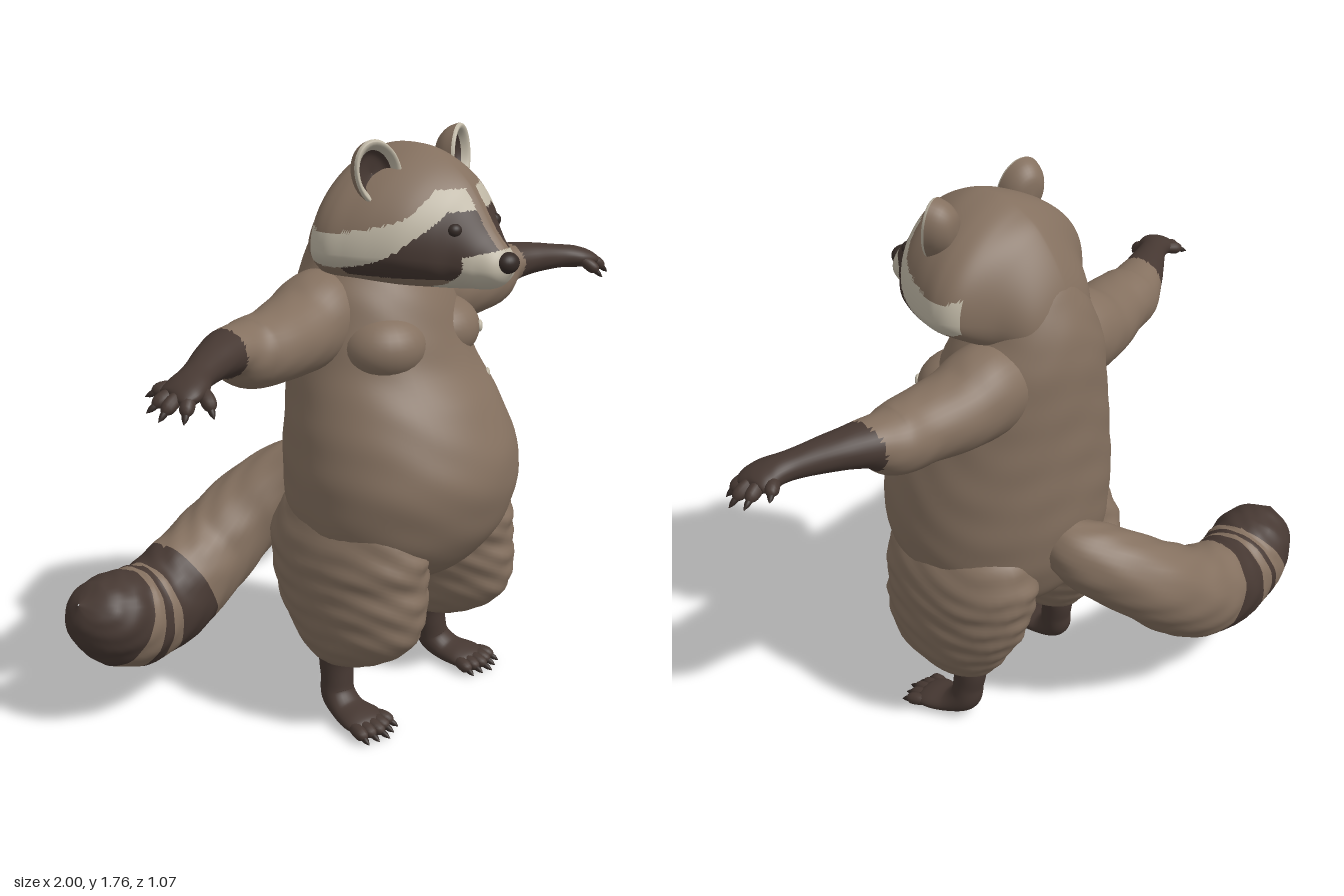
import * as THREE from 'three';

const mat = (name, color) => {
  const m = new THREE.MeshStandardMaterial({ color });
  m.name = name;
  return m;
};
const X = new THREE.Vector3(1, 0, 0), Y = new THREE.Vector3(0, 1, 0), Z = new THREE.Vector3(0, 0, 1);

// Smooth skin through sections [x, y, z, radiusA, radiusB, radiusB2].
// radiusA lies along ref, radiusB across it; axis fixes the ring direction.
function loft(sections, { ref = X, axis = null, rows = 40, seg = 32, power = 1, fur = 0 } = {}) {
  const path = new THREE.CatmullRomCurve3(sections.map(s => new THREE.Vector3(s[0], s[1], s[2])), false, 'catmullrom');
  const size = new THREE.CatmullRomCurve3(sections.map(s => new THREE.Vector3(s[3], s[4], s[5] ?? s[4])), false, 'catmullrom');
  const pos = [], index = [];
  for (let i = 0; i <= rows; i++) {
    const u = i / rows, p = path.getPoint(u), r = size.getPoint(u);
    const t = axis || path.getTangent(u);
    const a = ref.clone().addScaledVector(t, -ref.dot(t)).normalize();
    const b = t.clone().cross(a);
    for (let j = 0; j < seg; j++) {
      const th = j / seg * Math.PI * 2, c = Math.cos(th), s = Math.sin(th);
      const bump = 1 + fur * Math.sin(th * 5 + u * 13) * Math.sin(u * 55 + 2 * Math.sin(th * 3));
      const ra = Math.max(r.x, 0.001) * Math.sign(c) * Math.pow(Math.abs(c), power) * bump;
      const rb = Math.max(s > 0 ? r.y : r.z, 0.001) * s * bump;
      const v = p.clone().addScaledVector(a, ra).addScaledVector(b, rb);
      pos.push(v.x, v.y, v.z);
      if (i < rows) {
        const k = i * seg + j, n = i * seg + (j + 1) % seg;
        index.push(k, n, k + seg, n, n + seg, k + seg);
      }
    }
  }
  const g = new THREE.BufferGeometry();
  g.setAttribute('position', new THREE.Float32BufferAttribute(pos, 3));
  g.setIndex(index);
  g.computeVertexNormals();
  return g;
}

// Sort faces into colour groups by a rule on face centre and position along the loft.
function paint(g, count, rule) {
  const p = g.attributes.position, idx = g.index.array, bins = Array.from({ length: count }, () => []);
  const c = new THREE.Vector3(), v = new THREE.Vector3();
  for (let i = 0; i < idx.length; i += 3) {
    c.set(0, 0, 0);
    for (let k = 0; k < 3; k++) c.add(v.fromBufferAttribute(p, idx[i + k]));
    bins[rule(c.divideScalar(3), i / idx.length)].push(idx[i], idx[i + 1], idx[i + 2]);
  }
  g.setIndex(bins.flat());
  let start = 0;
  bins.forEach((b, m) => { g.addGroup(start, b.length, m); start += b.length; });
  return g;
}

export function createModel() {
  const root = new THREE.Group();
  root.name = 'raccoon';
  const fur = mat('brown fur', 0x84705f), dark = mat('dark fur', 0x463832);
  const cream = mat('cream fur', 0xc0b8a6), black = mat('nose and claws', 0x332925);
  const add = (name, geo, material, parent = root) => {
    const m = new THREE.Mesh(geo, material);
    m.name = name;
    parent.add(m);
    return m;
  };
  const ball = (name, material, [x, y, z], [a, b, c]) => {
    const m = add(name, new THREE.SphereGeometry(1, 28, 20), material);
    m.position.set(x, y, z);
    m.scale.set(a, b, c);
    return m;
  };
  // Tapered digit ending in a claw
  const digit = (name, a, b, r) => {
    const A = new THREE.Vector3(...a), B = new THREE.Vector3(...b), ref = Math.abs(B.x - A.x) > Math.abs(B.z - A.z) ? Y : X;
    const at = (t, k, lift) => { const q = A.clone().lerp(B, t); return [q.x, q.y + lift, q.z, r * k, r * k]; };
    add(name, loft([at(0, 0.7, 0), at(0.35, 1, 0.006), at(0.65, 0.9, 0.006), at(0.8, 0.1, 0)], { ref, rows: 10, seg: 12 }), dark);
    add(name + 'Claw', loft([at(0.65, 0.5, 0.005), at(0.85, 0.4, 0.002), at(1, 0.02, 0)], { ref, rows: 8, seg: 10 }), black);
  };

  // Torso: [y, half width, back z, front z]
  const torso = [[0.39, 0.01, 0.07, 0.09], [0.43, 0.13, -0.05, 0.24], [0.5, 0.27, -0.12, 0.36], [0.6, 0.345, -0.165, 0.44],
    [0.7, 0.367, -0.185, 0.477], [0.8, 0.37, -0.192, 0.485], [0.9, 0.355, -0.192, 0.455], [1.0, 0.33, -0.19, 0.4],
    [1.1, 0.3, -0.187, 0.33], [1.2, 0.275, -0.185, 0.29], [1.3, 0.245, -0.18, 0.25], [1.38, 0.2, -0.165, 0.2],
    [1.46, 0.16, -0.133, 0.16], [1.54, 0.1, -0.085, 0.12], [1.58, 0.005, 0, 0.01]]
    .map(([y, w, b, f]) => [0, y, (b + f) / 2, w, (f - b) / 2]);
  add('torso', loft(torso, { axis: Y, rows: 80, seg: 64, fur: 0.006 }), fur);

  // Head: [z, top, widest height, bottom, half width]
  const head = [[-0.15, 1.37, 1.36, 1.35, 0.01], [-0.1, 1.53, 1.4, 1.25, 0.13], [-0.02, 1.65, 1.44, 1.28, 0.2],
    [0.05, 1.7, 1.46, 1.32, 0.285], [0.11, 1.722, 1.46, 1.335, 0.305], [0.17, 1.727, 1.46, 1.335, 0.29],
    [0.23, 1.72, 1.46, 1.335, 0.265], [0.3, 1.69, 1.46, 1.34, 0.225], [0.36, 1.648, 1.45, 1.345, 0.17],
    [0.4, 1.6, 1.44, 1.35, 0.122], [0.45, 1.525, 1.425, 1.355, 0.085], [0.495, 1.475, 1.42, 1.375, 0.055], [0.52, 1.435, 1.42, 1.41, 0.005]]
    .map(([z, t, m, b, w]) => [0, m, z, w, t - m, m - b]);
  const face = c => {
    const ax = Math.abs(c.x), { y, z } = c;
    const brow = ax < 0.1 ? 1.6 : 1.6 - (ax - 0.1) * 0.72;
    const half = 0.027 + Math.max(0, ax - 0.2) * 0.3;
    if (z < 0.04) return 0;
    if (z > 0.32 && ax < 0.1 && y < 1.44 + (z - 0.36) * 0.25) return 2;
    if (z > 0.34 && ax < 0.022 && y > 1.44) return 0;
    if (Math.abs(y - brow) < half) return 2;
    if (z > 0.15 && y < brow && y > 1.385 + ax * 0.05) return 1;
    return 0;
  };
  add('head', paint(loft(head, { axis: Z, rows: 130, seg: 120, power: 1.35 }), 3, face), [fur, dark, cream]);
  ball('nose', black, [0, 1.437, 0.503], [0.038, 0.03, 0.032]);

  // Tail with bands
  const tail = [[0.06, 0.72, -0.1, 0.07, 0.07], [0.02, 0.66, -0.22, 0.11, 0.11], [-0.1, 0.56, -0.34, 0.13, 0.13],
    [-0.25, 0.44, -0.39, 0.145, 0.135], [-0.4, 0.36, -0.395, 0.155, 0.14], [-0.53, 0.32, -0.39, 0.152, 0.14],
    [-0.64, 0.33, -0.385, 0.15, 0.142], [-0.73, 0.375, -0.38, 0.128, 0.13], [-0.795, 0.42, -0.38, 0.08, 0.085], [-0.825, 0.445, -0.38, 0.003, 0.003]];
  const band = (c, u) => ((u > 0.45 && u < 0.57) || (u > 0.615 && u < 0.65) || u > 0.71 ? 1 : 0);
  add('tail', paint(loft(tail, { ref: Y, rows: 100, seg: 40, fur: 0.025 }), 2, band), [fur, dark]);

  for (const s of [1, -1]) {
    const side = s > 0 ? 'left' : 'right';
    const flip = list => list.map(([x, ...rest]) => [x * s, ...rest]);

    // Arm with dark forearm and hand
    const arm = flip([[0.04, 1.27, 0, 0.09, 0.11], [0.2, 1.247, 0.01, 0.135, 0.13], [0.32, 1.225, 0.025, 0.118, 0.125],
      [0.45, 1.22, 0.05, 0.102, 0.112], [0.55, 1.225, 0.055, 0.095, 0.1], [0.63, 1.25, 0.07, 0.066, 0.075],
      [0.72, 1.255, 0.105, 0.05, 0.058], [0.82, 1.25, 0.15, 0.038, 0.045], [0.88, 1.242, 0.178, 0.034, 0.056],
      [0.925, 1.232, 0.19, 0.024, 0.054], [0.945, 1.225, 0.19, 0.003, 0.02]]);
    add(side + 'Arm', paint(loft(arm, { ref: Y, rows: 80, seg: 36, fur: 0.008 }), 2, c => (Math.abs(c.x) > 0.635 ? 1 : 0)), [fur, dark]);
    [[0.88, 0.15, 0.95, 1.22, 0.1], [0.9, 0.17, 0.993, 1.2, 0.15], [0.91, 0.19, 1, 1.19, 0.2],
      [0.9, 0.21, 0.965, 1.185, 0.25], [0.86, 0.21, 0.89, 1.185, 0.277]].forEach(([x, z, tx, ty, tz]) =>
      digit(side + 'Finger', [x * s, 1.238, z], [tx * s, ty, tz], 0.019));

    // Chest
    ball(side + 'Chest', fur, [0.125 * s, 1.17, 0.175], [0.135, 0.1, 0.125]);

    // Furry upper leg
    const leg = flip([[0.225, 0.19, 0.1, 0.035, 0.04], [0.225, 0.22, 0.12, 0.09, 0.12], [0.225, 0.3, 0.15, 0.14, 0.205],
      [0.222, 0.4, 0.14, 0.163, 0.25], [0.215, 0.5, 0.125, 0.174, 0.262], [0.21, 0.6, 0.12, 0.172, 0.265],
      [0.2, 0.72, 0.12, 0.13, 0.2], [0.19, 0.8, 0.12, 0.01, 0.02]]);
    add(side + 'Leg', loft(leg, { axis: Y, rows: 60, seg: 44, fur: 0.022 }), fur);

    // Shin, heel and foot
    const foot = flip([[0.222, 0.28, 0.11, 0.06, 0.06], [0.228, 0.2, 0.085, 0.053, 0.055], [0.233, 0.13, 0.09, 0.05, 0.05],
      [0.24, 0.075, 0.1, 0.052, 0.05], [0.25, 0.042, 0.15, 0.058, 0.036], [0.258, 0.035, 0.21, 0.07, 0.03],
      [0.26, 0.03, 0.245, 0.06, 0.022], [0.26, 0.028, 0.262, 0.02, 0.004]]);
    add(side + 'Foot', loft(foot, { rows: 50, seg: 28 }), dark);
    for (let i = 0; i < 5; i++) {
      const k = i - 2;
      digit(side + 'Toe', [(0.26 + k * 0.024) * s, 0.033, 0.21], [(0.262 + k * 0.034) * s, 0.012, 0.322 - Math.abs(k) * 0.012], 0.02);
    }

    // Eye
    ball(side + 'Eye', black, [0.09 * s, 1.525, 0.39], [0.024, 0.02, 0.022]);

    // Cupped ear
    const ear = new THREE.Group();
    ear.name = side + 'Ear';
    ear.position.set(0.175 * s, 1.665, 0.18);
    ear.rotation.set(-0.1, 0.3 * s, -0.3 * s);
    ear.scale.set(1, 1.3, 1);
    const cup = (name, pts, m) => {
      const curve = new THREE.SplineCurve(pts.map(([x, y]) => new THREE.Vector2(x, y)));
      add(name, new THREE.LatheGeometry(curve.getPoints(12), 36).rotateX(Math.PI / 2), m, ear);
    };
    cup('earBack', [[0.001, -0.045], [0.04, -0.036], [0.064, -0.008], [0.073, 0.025]], fur);
    cup('earRim', [[0.073, 0.025], [0.069, 0.034], [0.06, 0.03], [0.05, 0.012]], cream);
    cup('earInside', [[0.05, 0.012], [0.035, -0.002], [0.001, -0.01]], dark);
    root.add(ear);
  }

  // Pale spots on the left of the chest
  [[0.21, 1.03, 0.303, 0.6], [0.2, 1.175, 0.278, 0.6]].forEach(([x, y, z, turn]) => {
    ball('paleSpot', cream, [x, y, z], [0.018, 0.018, 0.009]).rotation.y = turn;
  });
  return root;
}
